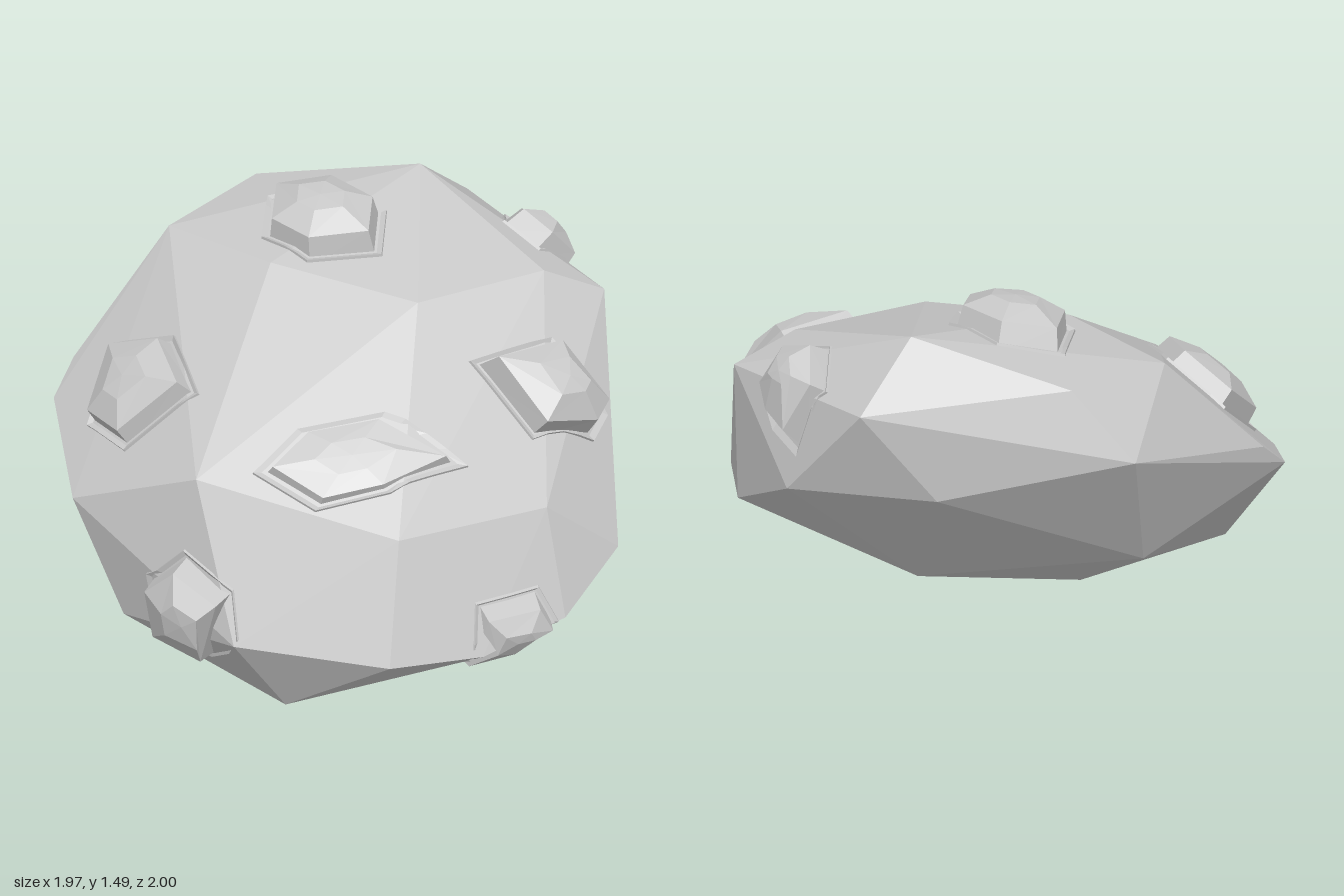
import * as THREE from 'three';
import { ConvexGeometry } from 'three/addons/geometries/ConvexGeometry.js';

// Corners of the faceted, tilted boulder
const CORNERS = [
  // upper side
  [0.51, 1.45, -0.49], [0.75, 1.235, -0.635], [0.03, 1.33, -0.855], [-0.16, 1.08, -1],
  [-0.38, 1.29, -0.67], [-0.17, 1.31, -0.23], [0.24, 1.25, 0.15], [0.75, 1.25, 0.085],
  [0.975, 1.14, 0.1], [-0.7, 0.83, 0.37],
  // front
  [-0.11, 0.69, 0.83], [0.49, 0.67, 0.75], [0.5, 0.3, 0.9], [-0.2, 0.26, 0.965], [-0.67, 0.29, 0.65],
  [0.15, 0.25, 0.985],
  // sides and back
  [0.925, 0.845, -0.34], [0.96, 0.61, 0.1], [0.78, 0.44, 0.71], [-0.99, 0.6, -0.08],
  [-0.875, 0.76, -0.54], [-0.77, 0.87, -0.61], [0.49, 0.9, -0.72],
  // underside
  [-0.455, 0, 0.61], [0.22, 0.06, 0.5], [-0.295, 0.13, 0.01], [-0.86, 0.19, 0.08],
  [-0.3, 0.53, -0.67], [0.4, 0.37, -0.24],
];

// Outlines of the gem-like knobs, each dropped onto the boulder along one axis
const KNOBS = [
  { name: 'topKnob', axis: 'y', height: 0.12, // x, z pairs
    outline: [[-0.02, -0.63], [0.21, -0.55], [0.31, -0.31], [0.21, -0.11], [-0.05, -0.18], [-0.14, -0.39]] },
  { name: 'frontLeftKnob', axis: 'y', height: 0.14,
    outline: [[0.36, 0.33], [0.7, 0.27], [0.86, 0.41], [0.77, 0.5], [0.51, 0.56]] },
  { name: 'frontKnob', axis: 'y', height: 0.045,
    outline: [[-0.51, 0.43], [-0.31, 0.36], [0, 0.43], [0.24, 0.63], [-0.08, 0.68], [-0.35, 0.63]] },
  { name: 'rightKnob', axis: 'y', height: 0.11,
    outline: [[-0.67, -0.47], [-0.53, -0.24], [-0.56, 0.06], [-0.81, -0.03], [-0.85, -0.28]] },
  { name: 'leftKnob', axis: 'y', height: 0.1,
    outline: [[0.71, -0.21], [0.79, -0.4], [0.89, -0.36], [0.925, -0.2], [0.93, -0.1], [0.79, -0.06]] },
  { name: 'lowerRightKnob', axis: 'z', height: 0.11, // x, y pairs
    outline: [[-0.75, 0.57], [-0.64, 0.48], [-0.66, 0.15], [-0.8, 0.2], [-0.84, 0.43]] },
  { name: 'lowerFrontKnob', axis: 'z', height: 0.05,
    outline: [[0.15, 0.43], [0.41, 0.43], [0.47, 0.3], [0.29, 0.16], [0.09, 0.17]] },
];

export function createModel() {
  const model = new THREE.Group();
  model.name = 'boulder';
  const stone = new THREE.MeshStandardMaterial({ color: 0xc8c8c8 });
  stone.name = 'grey stone';

  const rock = new THREE.Mesh(new ConvexGeometry(CORNERS.map((p) => new THREE.Vector3(...p))), stone);
  rock.name = 'rockBody';
  rock.updateMatrixWorld(true);
  model.add(rock);

  // Drop a flat outline point onto the rock surface
  const ray = new THREE.Raycaster();
  const drop = (axis, a, b) => {
    const from = axis === 'y' ? [a, 4, b] : [a, b, 4];
    const dir = new THREE.Vector3();
    dir[axis] = -1;
    ray.set(new THREE.Vector3(...from), dir);
    return ray.intersectObject(rock)[0].point;
  };

  // Join neighbouring rings of points into flat facets, optionally closed by a tip
  const addFacets = (group, name, rings, tip) => {
    const tris = [];
    const n = rings[0].length;
    for (let i = 0; i < n; i++) {
      const j = (i + 1) % n;
      for (let r = 0; r + 1 < rings.length; r++) {
        const [lo, hi] = [rings[r], rings[r + 1]];
        tris.push(lo[i], lo[j], hi[j], lo[i], hi[j], hi[i]);
      }
      if (tip) tris.push(rings.at(-1)[i], rings.at(-1)[j], tip);
    }
    const geometry = new THREE.BufferGeometry().setFromPoints(tris);
    geometry.computeVertexNormals();
    const mesh = new THREE.Mesh(geometry, stone);
    mesh.name = name;
    group.add(mesh);
  };

  for (const { name, axis, height, outline } of KNOBS) {
    const ca = outline.reduce((s, p) => s + p[0], 0) / outline.length;
    const cb = outline.reduce((s, p) => s + p[1], 0) / outline.length;
    const centre = drop(axis, ca, cb);
    let base = outline;

    // Outward direction of the patch under the knob
    const normal = new THREE.Vector3();
    base.forEach(([a, b], i) => {
      const next = base[(i + 1) % base.length];
      const u = drop(axis, a, b).sub(centre);
      normal.add(u.cross(drop(axis, ...next).sub(centre)));
    });
    if (normal[axis] < 0) {
      normal.negate();
      base = [...base].reverse();
    }
    normal.normalize();

    // A scaled outline, lifted off the rock and partly levelled with the centre
    const ring = (points, scale, lift, level) => points.map(([a, b]) => {
      const p = drop(axis, ca + (a - ca) * scale, cb + (b - cb) * scale);
      const drift = p.clone().sub(centre).dot(normal);
      return p.addScaledVector(normal, lift - drift * level);
    });

    const knob = new THREE.Group();
    knob.name = name;
    model.add(knob);

    // Low rim that follows the rock
    const fine = base.flatMap(([a, b], i) => {
      const [c, d] = base[(i + 1) % base.length];
      return [0, 0.25, 0.5, 0.75].map((t) => [a + (c - a) * t, b + (d - b) * t]);
    });
    addFacets(knob, 'rim', [ring(fine, 1, -0.005, 0), ring(fine, 0.99, 0.01, 0), ring(fine, 0.86, -0.005, 0)]);

    // Gem: sunk foot, shoulder, crown and tip
    addFacets(knob, 'gem', [ring(base, 0.89, -0.04, 0), ring(base, 0.8, height * 0.6, 0.4),
      ring(base, 0.38, height * 0.95, 0.8)], centre.clone().addScaledVector(normal, height));
  }
  return model;
}
